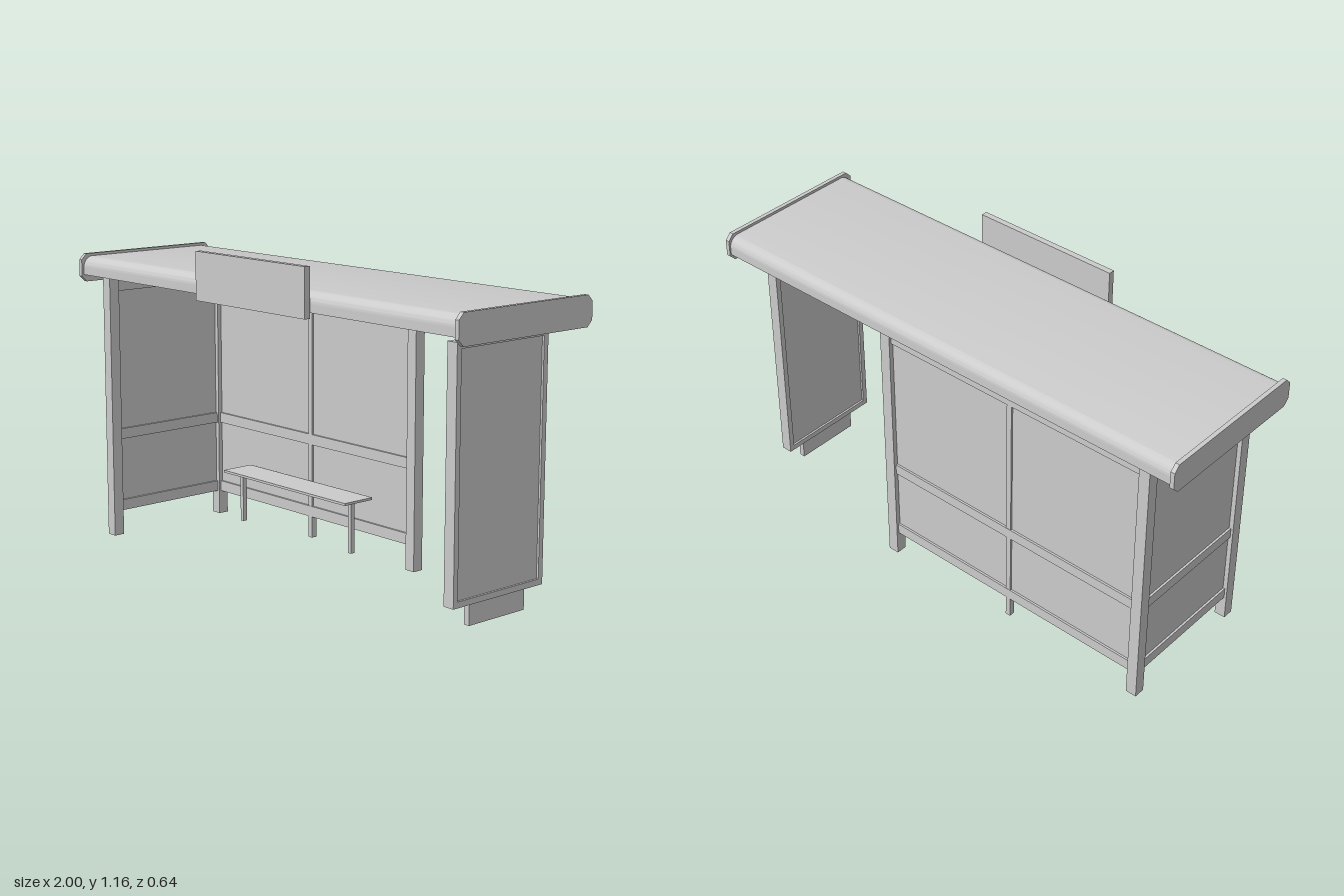
import * as THREE from 'three';
import { toCreasedNormals } from 'three/addons/utils/BufferGeometryUtils.js';

const material = new THREE.MeshStandardMaterial({ color: 0xcccccc, side: THREE.DoubleSide });

function addMesh(parent, name, geometry) {
  const mesh = new THREE.Mesh(geometry, material);
  mesh.name = name;
  parent.add(mesh);
  return mesh;
}

// Box given by its lower and upper limits on each axis
function addBox(parent, name, [x0, x1], [y0, y1], [z0, z1]) {
  const mesh = addMesh(parent, name, new THREE.BoxGeometry(x1 - x0, y1 - y0, z1 - z0));
  mesh.position.set((x0 + x1) / 2, (y0 + y1) / 2, (z0 + z1) / 2);
  return mesh;
}

function addGroup(parent, name) {
  const group = new THREE.Group();
  group.name = name;
  parent.add(group);
  return group;
}

// Extrude a (z, y) profile along x, from x0 to x1
function extrudeAlongX(shape, x0, x1) {
  const geometry = new THREE.ExtrudeGeometry(shape, { depth: x1 - x0, bevelEnabled: false, curveSegments: 8 });
  geometry.rotateY(-Math.PI / 2); // depth now runs to -x, profile x runs to +z
  geometry.translate(x1, 0, 0);
  return toCreasedNormals(geometry, 0.6);
}

// Hollow roof: flat top, rounded long edges and short fascias, open below
function roofProfile() {
  const [back, front, low, high, r, t] = [-0.311, 0.289, 1.0, 1.069, 0.04, 0.01];
  const s = new THREE.Shape();
  s.moveTo(back, low);
  s.lineTo(back + t, low);
  s.lineTo(back + t, high - r);
  s.absarc(back + r, high - r, r - t, Math.PI, Math.PI / 2, true);
  s.lineTo(front - r, high - t);
  s.absarc(front - r, high - r, r - t, Math.PI / 2, 0, true);
  s.lineTo(front - t, low);
  s.lineTo(front, low);
  s.lineTo(front, high - r);
  s.absarc(front - r, high - r, r, 0, Math.PI / 2, false);
  s.lineTo(back + r, high);
  s.absarc(back + r, high - r, r, Math.PI / 2, Math.PI, false);
  s.lineTo(back, low);
  return s;
}

// End cap: a rectangle with cut corners
function capProfile() {
  const [z0, z1, y0, y1, c] = [-0.317, 0.299, 0.973, 1.079, 0.022];
  return new THREE.Shape([
    [z0 + c, y0], [z1 - c, y0], [z1, y0 + c], [z1, y1 - c],
    [z1 - c, y1], [z0 + c, y1], [z0, y1 - c], [z0, y0 + c],
  ].map(([z, y]) => new THREE.Vector2(z, y)));
}

// Heights of the bottom, middle and top rails of the walls
const rails = [[0.092, 0.133], [0.373, 0.413], [0.945, 0.985]];

export function createModel() {
  const model = new THREE.Group();
  model.name = 'busShelter';

  // Roof
  const roof = addGroup(model, 'roof');
  addMesh(roof, 'roofShell', extrudeAlongX(roofProfile(), -0.985, 0.985));
  for (const x of [-1, 0.984]) addMesh(roof, 'roofEndCap', extrudeAlongX(capProfile(), x, x + 0.016));
  addBox(roof, 'signBoard', [-0.258, 0.319], [0.982, 1.156], [0.296, 0.319]);
  addBox(roof, 'signBracket', [-0.1, 0.16], [1.005, 1.025], [0.287, 0.298]);

  // Posts
  for (const [x, z] of [[-0.867, 0.249], [-0.867, -0.266], [0.247, -0.266]]) {
    addBox(model, 'post', [x - 0.021, x + 0.021], [0, 1.06], [z - 0.021, z + 0.021]);
  }

  // Back wall
  const backWall = addGroup(model, 'backWall');
  const backX = [-0.847, 0.227];
  addBox(backWall, 'backPanel', backX, [0.1, 0.98], [-0.27, -0.262]);
  for (const y of rails) addBox(backWall, 'backRail', backX, y, [-0.278, -0.254]);
  addBox(backWall, 'mullion', [-0.315, -0.295], [0.01, 1.06], [-0.277, -0.255]);

  // Side wall
  const sideWall = addGroup(model, 'sideWall');
  const sideZ = [-0.246, 0.229];
  addBox(sideWall, 'sidePanel', [-0.871, -0.863], [0.1, 0.98], sideZ);
  for (const y of rails) addBox(sideWall, 'sideRail', [-0.879, -0.855], y, sideZ);

  // Bench
  const bench = addGroup(model, 'bench');
  addBox(bench, 'seat', [-0.648, 0.048], [0.226, 0.235], [-0.246, -0.11]);
  for (const x of [-0.609, 0.011]) {
    addBox(bench, 'benchLeg', [x - 0.008, x + 0.008], [0.03, 0.228], [-0.186, -0.168]);
  }

  // Display case: picture frame around a recessed panel, with a hanger and a foot
  const display = addGroup(model, 'displayCase');
  const frame = new THREE.Shape([[-0.22, 0.105], [0.202, 0.105], [0.202, 0.966], [-0.22, 0.966]]
    .map(([z, y]) => new THREE.Vector2(z, y)));
  frame.holes.push(new THREE.Path([[-0.2, 0.126], [-0.2, 0.944], [0.182, 0.944], [0.182, 0.126]]
    .map(([z, y]) => new THREE.Vector2(z, y))));
  addMesh(display, 'displayFrame', extrudeAlongX(frame, 0.858, 0.901));
  addBox(display, 'displayPanel', [0.866, 0.893], [0.12, 0.95], [-0.205, 0.187]);
  addBox(display, 'displayFoot', [0.869, 0.891], [0.03, 0.11], [-0.143, 0.118]);
  addBox(display, 'displayHanger', [0.869, 0.891], [0.96, 1.06], [-0.143, 0.118]);

  return model;
}
